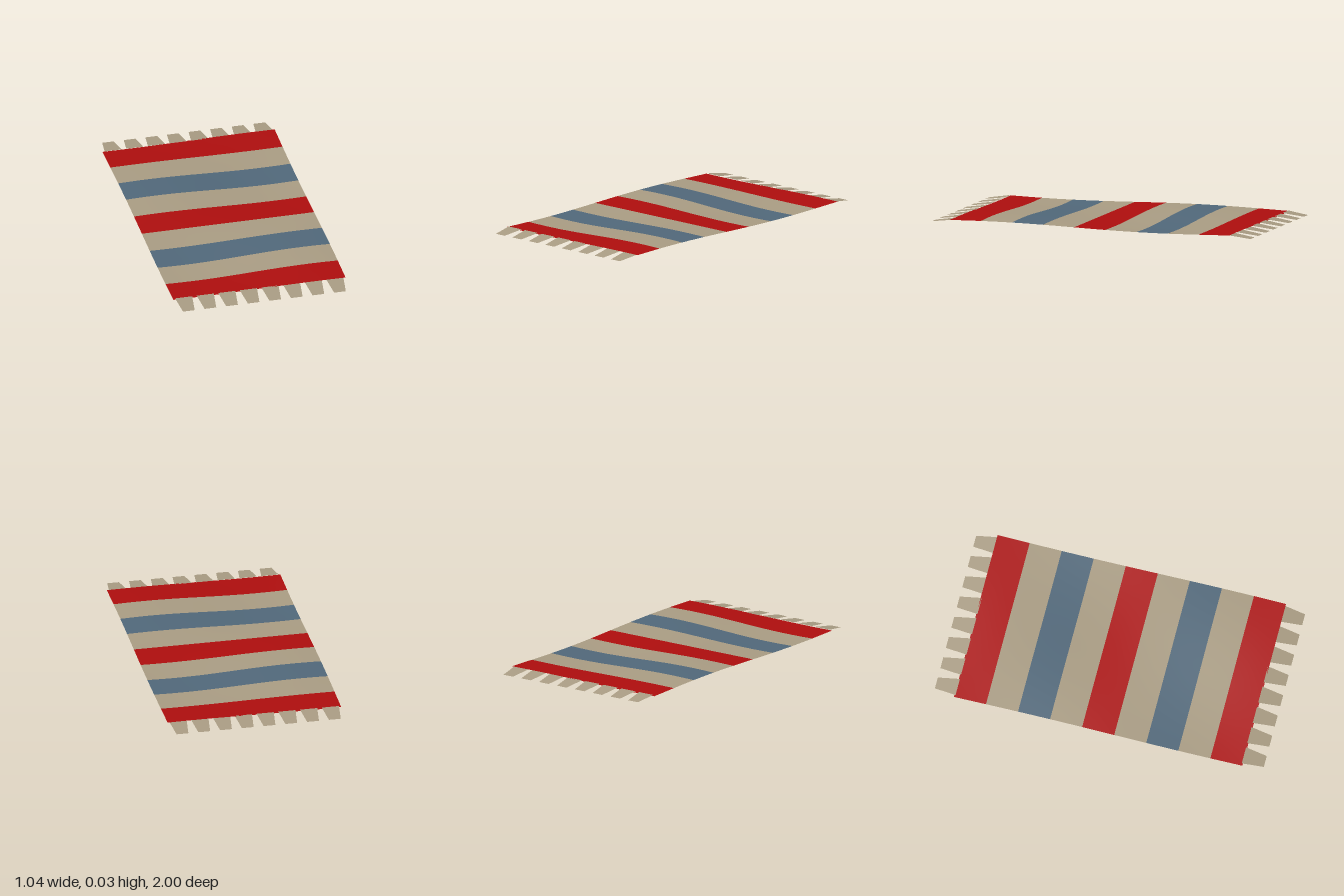
import * as THREE from 'three';

const WIDTH = 1.045, HALF_LENGTH = 0.877, STRIPES = 9;

// Gentle ripple of the woven cloth
const ripple = (x, z) => 0.016 + 0.011 * Math.sin(4.5 * x) * Math.sin(3.6 * (z - 0.1));

function material(name, color) {
  return new THREE.MeshStandardMaterial({ name, color, side: THREE.DoubleSide });
}

// Flat sheet lying in xz, its vertices moved by a rule
function sheet(width, depth, z, segX, segZ, move) {
  const geo = new THREE.PlaneGeometry(width, depth, segX, segZ).rotateX(-Math.PI / 2).translate(0, 0, z);
  const pos = geo.attributes.position;
  const v = new THREE.Vector3();
  for (let i = 0; i < pos.count; i++) {
    move(v.fromBufferAttribute(pos, i));
    pos.setXYZ(i, v.x, v.y, v.z);
  }
  geo.computeVertexNormals();
  return geo;
}

export function createModel() {
  const rug = new THREE.Group();
  rug.name = 'rug';
  const red = material('red wool', 0xae0e0e);
  const beige = material('beige wool', 0xa99c83);
  const blue = material('blue wool', 0x51687a);

  // Woven stripes, from back to front
  const order = [red, beige, blue, beige];
  const depth = (2 * HALF_LENGTH) / STRIPES;
  for (let i = 0; i < STRIPES; i++) {
    const z = -HALF_LENGTH + (i + 0.5) * depth;
    const geo = sheet(WIDTH, depth, z, 20, 3, (v) => { v.y = ripple(v.x, v.z); });
    const stripe = new THREE.Mesh(geo, order[i % 4]);
    stripe.name = `stripe${i + 1}`;
    rug.add(stripe);
  }

  // Tapered tassels sloping down to the floor at both ends
  const rootZ = 0.87, tipZ = 1;
  const tassel = sheet(0.104, tipZ - rootZ, (rootZ + tipZ) / 2, 1, 1, (v) => {
    const tip = v.z > 0.93;
    v.y = tip ? 0 : 0.018;
    if (tip) v.x *= 0.68;
  });
  for (const [name, turn] of [['frontFringe', 0], ['backFringe', Math.PI]]) {
    const fringe = new THREE.Group();
    fringe.name = name;
    fringe.rotation.y = turn;
    for (let i = 0; i < 8; i++) {
      const mesh = new THREE.Mesh(tassel, beige);
      mesh.name = 'tassel';
      mesh.position.x = (i - 3.5) * 0.131;
      fringe.add(mesh);
    }
    rug.add(fringe);
  }
  return rug;
}
